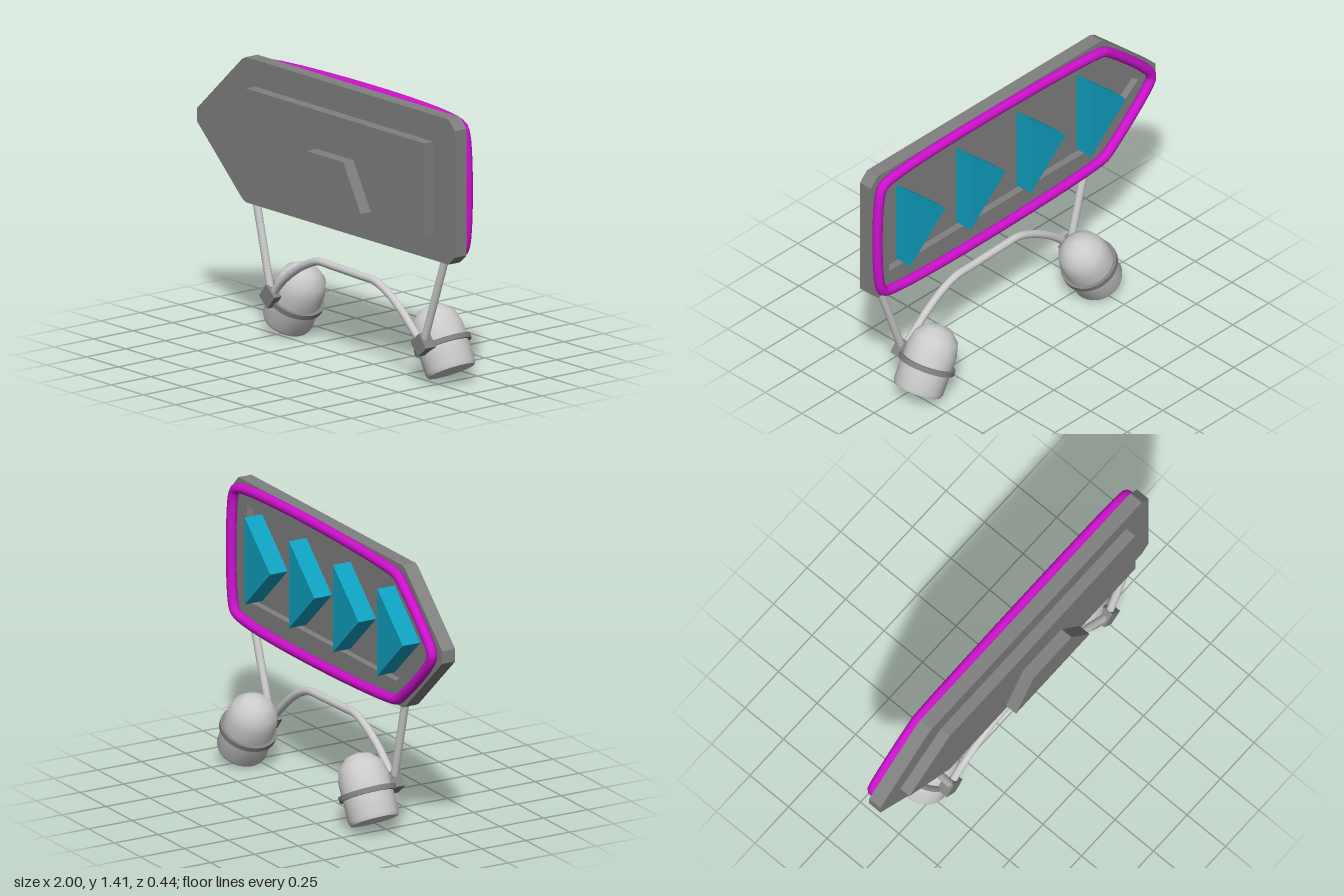
import * as THREE from 'three';
import { toCreasedNormals } from 'three/addons/utils/BufferGeometryUtils.js';

const light = new THREE.MeshStandardMaterial({ color: 0xcccccc });
const dark = new THREE.MeshStandardMaterial({ color: 0x808080 });
const magenta = new THREE.MeshStandardMaterial({ color: 0xcc11cc });
const teal = new THREE.MeshStandardMaterial({ color: 0x0fa0c0 });

const vec = (pts) => pts.map(([x, y]) => new THREE.Vector2(x, y));

function add(parent, name, geometry, material) {
  const mesh = new THREE.Mesh(geometry, material);
  mesh.name = name;
  parent.add(mesh);
  return mesh;
}

// Flat panel between two depths, with an optional hole
function slab(parent, name, pts, z0, z1, material, hole) {
  const shape = new THREE.Shape(vec(pts));
  if (hole) shape.holes.push(new THREE.Path(vec(hole)));
  const geo = new THREE.ExtrudeGeometry(shape, { depth: z1 - z0, bevelEnabled: false });
  geo.translate(0, 0, z0);
  return add(parent, name, geo, material);
}

// Round bar along a list of points at a fixed depth
function bar(parent, name, pts, z, radius, material, closed = false) {
  const curve = new THREE.CatmullRomCurve3(
    pts.map(([x, y]) => new THREE.Vector3(x, y, z)), closed, 'centripetal');
  return add(parent, name, new THREE.TubeGeometry(curve, closed ? 200 : 48, radius, 12, closed), material);
}

export function createModel() {
  const model = new THREE.Group();
  model.name = 'arrowSign';

  // Pointed sign board with a recess in its back
  const outline = [
    [-1, 1.01], [-0.65, 0.69], [-0.62, 0.675], [0.95, 0.675], [1, 0.72],
    [1, 1.36], [0.95, 1.41], [-0.62, 1.41], [-0.65, 1.395], [-1, 1.075],
  ];
  const recess = [[-0.88, 1.04], [-0.56, 0.795], [0.87, 0.795], [0.87, 1.285], [-0.56, 1.285]];
  slab(model, 'boardFront', outline, 0.06, 0.097, dark);
  slab(model, 'boardBackFrame', outline, 0.023, 0.06, dark, recess);

  // Stepped panels on the front
  slab(model, 'raisedPanel',
    [[-0.85, 1.04], [-0.55, 0.805], [0.835, 0.805], [0.835, 1.275], [-0.55, 1.275]], 0.09, 0.155, dark);
  slab(model, 'housing',
    [[-0.13, 0.845], [0.42, 0.845], [0.285, 1.08], [0, 1.08]], 0.15, 0.22, dark);

  // Glowing tube around the back
  bar(model, 'rimTube', [
    [0.92, 1.365], [0.955, 1.33], [0.955, 0.75], [0.92, 0.715], [-0.6, 0.715],
    [-0.64, 0.735], [-0.94, 1.02], [-0.94, 1.06], [-0.64, 1.345], [-0.6, 1.365],
  ], -0.002, 0.026, magenta, true);

  // Row of arrowheads in the recess
  for (let i = 0; i < 4; i++) {
    const x = 0.785 - i * 0.423;
    slab(model, 'arrowhead', [[x, 0.81], [x, 1.26], [x - 0.245, 1.035]], -0.04, 0.06, teal);
  }

  // Struts and the bent cross bar
  bar(model, 'rightStrut', [[-0.57, 0.7], [-0.45, 0.23]], 0.073, 0.02, light);
  bar(model, 'leftStrut', [[0.9, 0.7], [0.725, 0.22]], 0.073, 0.02, light);
  bar(model, 'crossBar', [
    [-0.45, 0.23], [-0.39, 0.3], [-0.3, 0.375], [-0.19, 0.44], [-0.09, 0.478], [0.02, 0.478],
    [0.25, 0.472], [0.35, 0.468], [0.45, 0.43], [0.55, 0.365], [0.65, 0.28], [0.725, 0.215],
  ], 0.073, 0.02, light);

  // Tilted thrusters: domed can, clamp ring and mounting block
  const r = 0.128;
  const profile = [[0, 0], [0.12, 0], [r, 0.018], [r, 0.22]];
  for (const a of [60, 30, 0]) {
    const t = THREE.MathUtils.degToRad(a);
    profile.push([r * Math.sin(t), 0.22 + r * Math.cos(t)]);
  }
  const canGeo = toCreasedNormals(new THREE.LatheGeometry(vec(profile), 32), 0.6);
  for (const s of [-1, 1]) {
    const thruster = new THREE.Group();
    thruster.name = s < 0 ? 'rightThruster' : 'leftThruster';
    thruster.position.set(0.13 + s * 0.638, 0.072, -0.07);
    thruster.rotation.z = s * 0.5;
    add(thruster, 'can', canGeo, light);
    add(thruster, 'clampRing', new THREE.CylinderGeometry(0.145, 0.145, 0.026, 32), dark).position.y = 0.14;
    model.add(thruster);

    const block = add(model, 'mountBlock', new THREE.BoxGeometry(0.085, 0.085, 0.065), dark);
    block.position.set(s < 0 ? -0.453 : 0.722, s < 0 ? 0.232 : 0.222, 0.07);
    block.rotation.z = s * 0.7;
  }
  return model;
}
